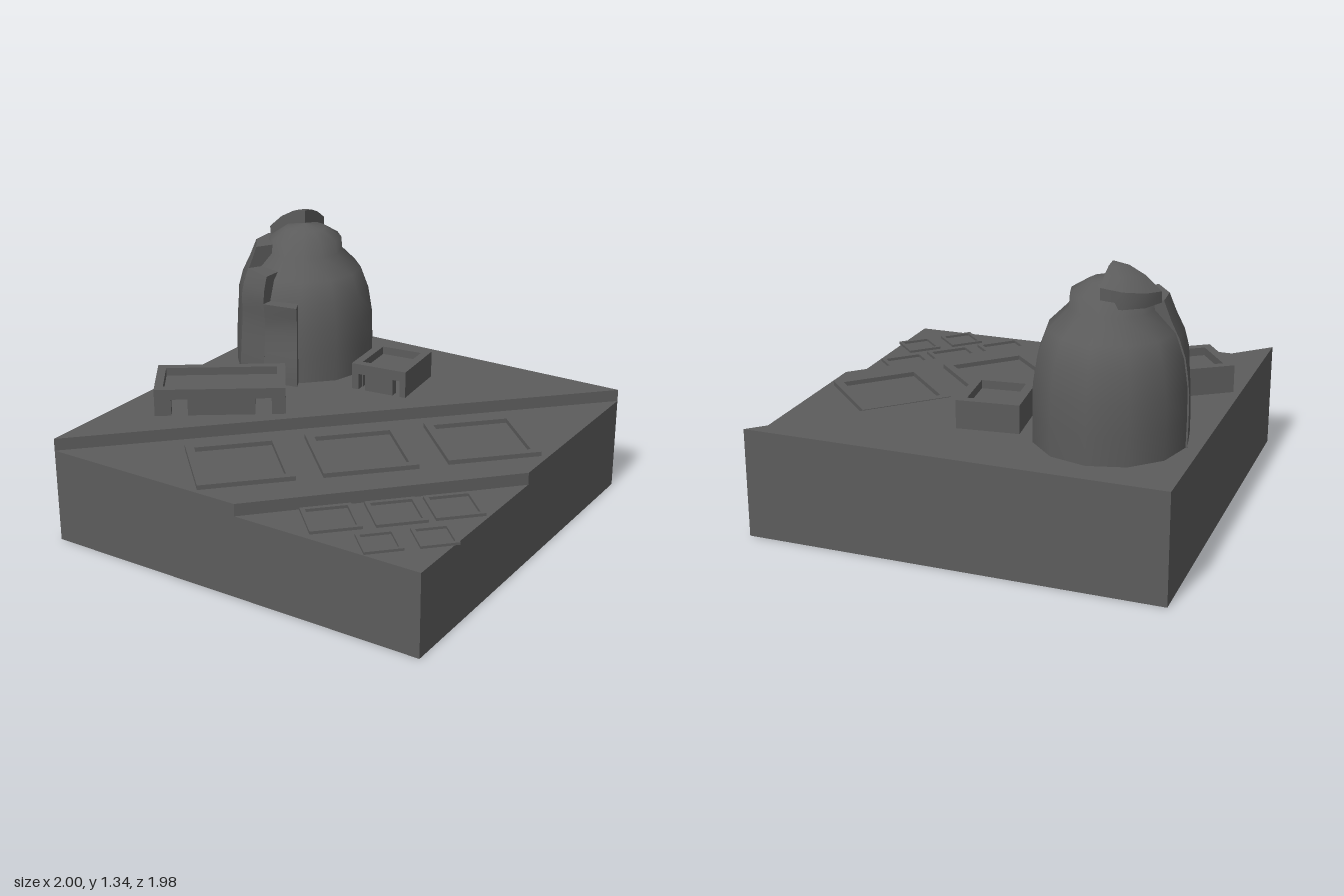
import * as THREE from 'three';

const material = new THREE.MeshStandardMaterial({ color: 0x5c5c5c, side: THREE.DoubleSide });
const TOP = 0.525, MID = 0.465, LOW = 0.405;
const rad = THREE.MathUtils.degToRad;
const { smoothstep, lerp } = THREE.MathUtils;

function add(parent, name, geometry) {
  const mesh = new THREE.Mesh(geometry, material);
  mesh.name = name;
  parent.add(mesh);
  return mesh;
}

// Horizontal slab from [x, z] corners, with an optional hole
function slab(corners, y0, y1, hole) {
  const toVec = ([x, z]) => new THREE.Vector2(x, -z);
  const shape = new THREE.Shape(corners.map(toVec));
  if (hole) shape.holes.push(new THREE.Path(hole.map(toVec)));
  const g = new THREE.ExtrudeGeometry(shape, { depth: y1 - y0, bevelEnabled: false });
  return g.rotateX(-Math.PI / 2).translate(0, y0, 0);
}

const diamond = (x, z, r) => [[x - r, z], [x, z - r], [x + r, z], [x, z + r]];

// House with a sunken flat roof and two doorways in its front wall
function house(name, x, z, width, depth, angle) {
  const group = new THREE.Group();
  const h = 0.135, t = 0.042, w = width / 2, d = depth / 2;
  const outline = [[-w, 0]];
  for (const c of [-0.31, 0.33]) {
    const a = (c - 0.063) * width, b = (c + 0.063) * width;
    outline.push([a, 0], [a, 0.083], [b, 0.083], [b, 0]);
  }
  outline.push([w, 0], [w, h], [-w, h]);
  const front = new THREE.Shape(outline.map(([px, py]) => new THREE.Vector2(px, py)));
  add(group, 'frontWall', new THREE.ExtrudeGeometry(front, { depth: t, bevelEnabled: false })).position.z = d - t;
  add(group, 'backWall', new THREE.BoxGeometry(width, h, t)).position.set(0, h / 2, t / 2 - d);
  for (const s of [-1, 1]) {
    add(group, s > 0 ? 'leftWall' : 'rightWall', new THREE.BoxGeometry(t, h, depth - 2 * t))
      .position.set(s * (w - t / 2), h / 2, 0);
  }
  add(group, 'roof', new THREE.BoxGeometry(width - 2 * t, 0.01, depth - 2 * t)).position.y = 0.09;
  group.name = name;
  group.position.set(x, TOP, z);
  group.rotation.y = rad(angle);
  return group;
}

// Dome profile as [radius, height]
const profile = [[0.345, 0.525], [0.347, 0.66], [0.345, 0.8], [0.325, 0.93], [0.285, 1.04],
  [0.19, 1.135], [0.185, 1.2], [0.105, 1.25], [0, 1.27]];

function domeRadius(y) {
  for (let i = 1; i < profile.length; i++) {
    const [r0, y0] = profile[i - 1], [r1, y1] = profile[i];
    if (y <= y1) return lerp(r0, r1, (y - y0) / (y1 - y0));
  }
  return 0;
}

// Box bent around the dome axis: place(angle, v, w) returns [radius, height]
function bentBox(from, to, segments, place) {
  const g = new THREE.BoxGeometry(1, 1, 1, ...segments);
  const p = g.attributes.position;
  for (let i = 0; i < p.count; i++) {
    const angle = to - (p.getX(i) + 0.5) * (to - from);
    const [r, y] = place(angle, p.getY(i) + 0.5, p.getZ(i) + 0.5);
    p.setXYZ(i, r * Math.cos(rad(angle)), y, r * Math.sin(rad(angle)));
  }
  g.computeVertexNormals();
  return g;
}

function dome() {
  const group = new THREE.Group();
  group.name = 'domeTower';
  add(group, 'domeShell', new THREE.LatheGeometry(profile.map(([r, y]) => new THREE.Vector2(r, y)), 12));

  // Outer shell winding round the front, rising in steps as it merges with the dome
  const steps = [[63, 90, 0.94, 1], [90, 120, 1.075, 1], [120, 180, 1.18, 2]];
  for (const [from, to, top, n] of steps) {
    add(group, 'shellStep', bentBox(from, to, [n, 8, 1], (angle, v, w) => {
      const y = TOP + v * (top - TOP);
      const fade = (180 - angle) / 117;
      const pinch = 0.025 * smoothstep(y, 0.55, 0.8) * (1 - smoothstep(y, 0.8, 0.93));
      const flare = 0.045 * smoothstep(y, 0.85, 1.05);
      const lift = 0.008 + fade * (0.047 - pinch + flare) + 0.035 * smoothstep(y, 1.0, 1.14);
      return [domeRadius(y) + (w ? lift : -0.07), y];
    }));
  }

  // Raised quarter of the crown where the winding shell ends
  add(group, 'crownStep', bentBox(180, 270, [3, 1, 3], (angle, v, w) => {
    const drop = (270 - angle) / 90;
    const top = 1.335 - (0.075 + 0.04 * drop) * w * w;
    return [(0.175 + 0.045 * drop) * w, v ? top : 1.17];
  }));
  group.position.set(-0.587, 0, -0.51);
  return group;
}

export function createModel() {
  const model = new THREE.Group();
  model.name = 'terracedVillage';

  // Ground block with two diagonal terraces
  add(model, 'groundBlock', slab([[-1, -0.99], [0.98, -0.99], [0.98, 0.99], [-1, 0.99]], 0, LOW));
  add(model, 'middleTerrace', slab([[-1, -0.99], [0.98, -0.99], [0.98, 0.015], [0.04, 0.99], [-1, 0.99]], LOW, MID));
  add(model, 'upperTerrace', slab([[-1, -0.99], [0.98, -0.99], [-1, 0.99]], MID, TOP));

  // Raised rims of the plots: x, z, outer, inner, ground, height
  const plots = [
    [-0.18, 0.65, 0.316, 0.26, MID, 0.022], [0.225, 0.245, 0.316, 0.26, MID, 0.022],
    [0.632, -0.18, 0.316, 0.26, MID, 0.022],
    [0.412, 0.79, 0.165, 0.135, LOW, 0.014], [0.62, 0.585, 0.165, 0.135, LOW, 0.014],
    [0.805, 0.395, 0.16, 0.13, LOW, 0.014],
    [0.702, 0.862, 0.123, 0.098, LOW, 0.012], [0.875, 0.69, 0.123, 0.098, LOW, 0.012],
  ];
  for (const [x, z, outer, inner, y, h] of plots) {
    add(model, 'plotRim', slab(diamond(x, z, outer), y, y + h, diamond(x, z, inner)));
  }

  model.add(house('longHouse', -0.611, 0.207, 0.634, 0.33, 35));
  model.add(house('smallHouse', -0.036, -0.468, 0.295, 0.325, 6.3));
  model.add(dome());
  return model;
}
